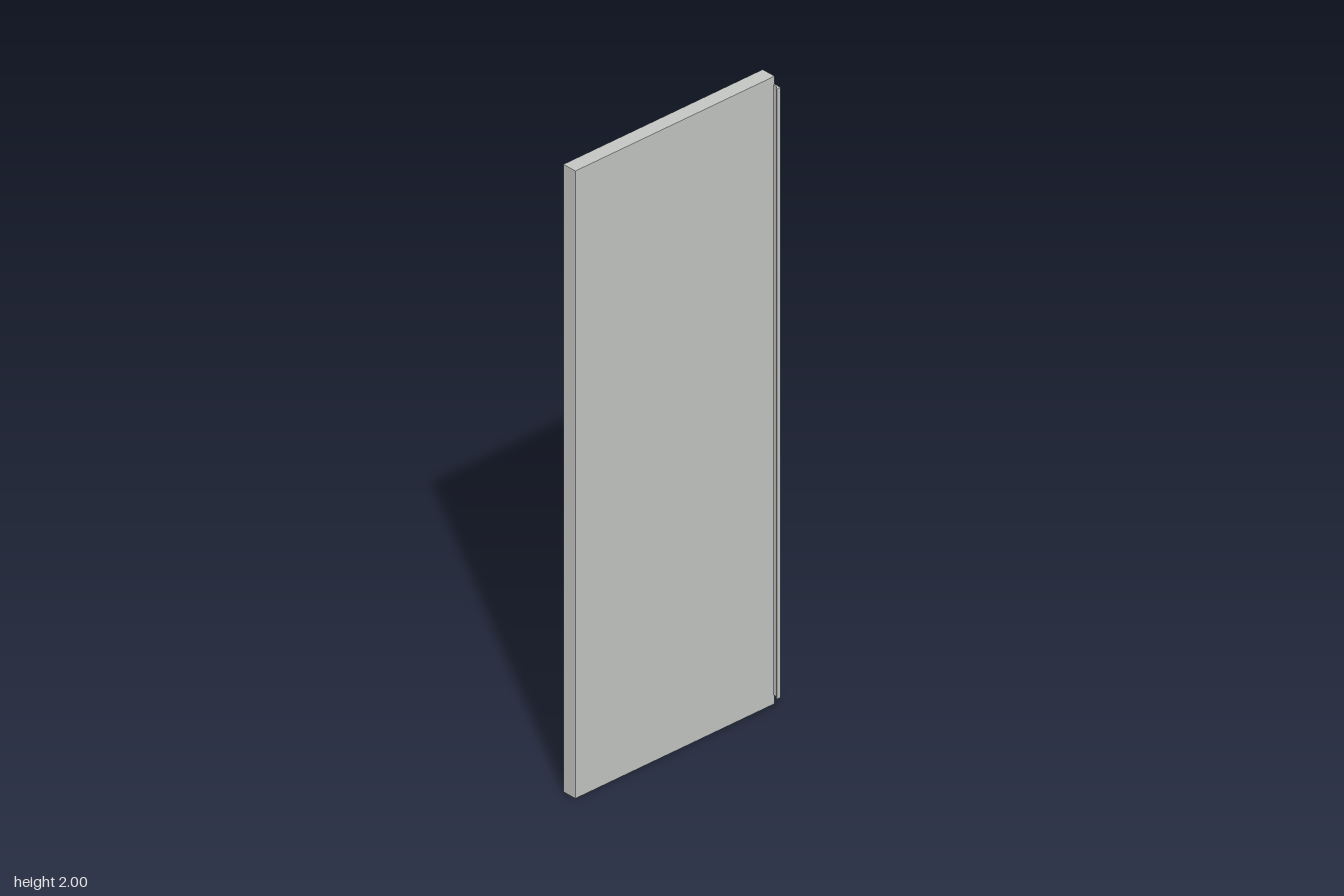
import * as THREE from 'three';

const W = 0.74, H = 2;                            // door size
const BACK = -0.036, MID = -0.002, FRONT = 0.012; // depth layers
const BORDER = 0.12;                              // frame width
const HINGE_X = -0.305, HINGE_Y = [0.25, 1.75];

function polygon(points, Type = THREE.Shape) {
  return new Type(points.map(([x, y]) => new THREE.Vector2(x, y)));
}

function rectangle(x, y0, y1, Type) {
  return polygon([[-x, y0], [x, y0], [x, y1], [-x, y1]], Type);
}

function circleHole(x, y, r) {
  const path = new THREE.Path();
  path.absarc(x, y, r, 0, Math.PI * 2, true);
  return path;
}

export function createModel() {
  const door = new THREE.Group();
  door.name = 'cabinetDoor';
  const paint = new THREE.MeshStandardMaterial({ color: 0xc4c6c3 });
  paint.name = 'light grey paint';

  const add = (name, geometry) => {
    const mesh = new THREE.Mesh(geometry, paint);
    mesh.name = name;
    door.add(mesh);
    return mesh;
  };

  // Flat front panel
  add('frontPanel', new THREE.BoxGeometry(W, H, FRONT - MID))
    .position.set(0, H / 2, (FRONT + MID) / 2);

  // Raised back frame, bored for hinge cups and their screws
  const frame = rectangle(W / 2, 0, H);
  frame.holes.push(rectangle(W / 2 - BORDER, BORDER, H - BORDER, THREE.Path));
  for (const y of HINGE_Y) {
    frame.holes.push(circleHole(HINGE_X, y, 0.044));
    for (const side of [-1, 1]) {
      frame.holes.push(circleHole(HINGE_X + 0.024, y + side * 0.06, 0.011));
    }
  }
  add('backFrame', new THREE.ExtrudeGeometry(frame, {
    depth: MID - BACK, bevelEnabled: false, curveSegments: 16,
  })).position.z = BACK;

  // Slim hooked pull along the opening edge: section in x and z, run upward
  const section = [
    [0.365, 0.012], [0.37, 0.012], [0.37, 0.036], [0.357, 0.036],
    [0.357, 0.032], [0.361, 0.030], [0.364, 0.025], [0.365, 0.019],
  ];
  const pull = new THREE.ExtrudeGeometry(polygon(section.map(([x, z]) => [x, -z])), {
    depth: 1.945, bevelEnabled: false,
  });
  pull.rotateX(-Math.PI / 2);
  add('edgePull', pull).position.y = 0.03;

  return door;
}
